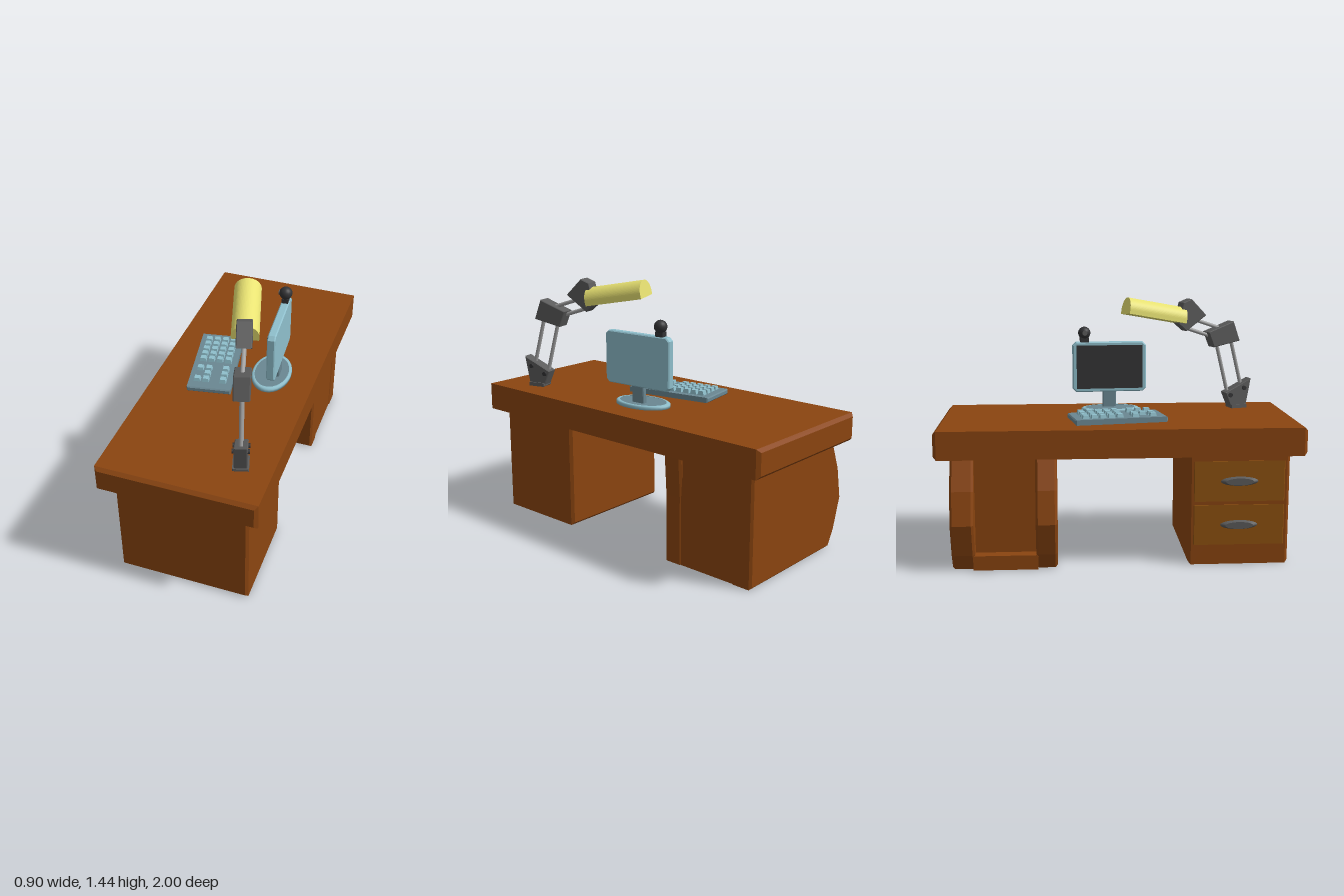
import * as THREE from 'three';

const mat = (color, extra = {}) => new THREE.MeshStandardMaterial({ color, ...extra });
const wood = mat(0x8b4510), drawerWood = mat(0x8f5210);
const blue = mat(0x8fbfcc), greyBlue = mat(0x6a8792);
const dark = mat(0x333335), iron = mat(0x5c5c5c), steel = mat(0xa0a0a0), yellow = mat(0xe8e272);

function add(parent, name, geometry, material, x = 0, y = 0, z = 0) {
  const mesh = new THREE.Mesh(geometry, material);
  mesh.name = name;
  mesh.position.set(x, y, z);
  parent.add(mesh);
  return mesh;
}

const polygon = pts => new THREE.Shape(pts.map(p => new THREE.Vector2(p[0], p[1])));

// Polygon extruded to a given depth, centred on z, with a chamfer inside the depth
function slab(shape, depth, bevel = 0) {
  const g = new THREE.ExtrudeGeometry(shape, {
    depth: depth - 2 * bevel, bevelEnabled: bevel > 0, bevelThickness: bevel,
    bevelSize: bevel, bevelOffset: -bevel, bevelSegments: 1, curveSegments: 16,
  });
  return g.translate(0, 0, bevel - depth / 2);
}

// Chamfered box
function block(w, h, d, bevel) {
  const x = w / 2, y = h / 2;
  return slab(polygon([[-x, -y], [x, -y], [x, y], [-x, y]]), d, bevel);
}

function rod(parent, name, a, b, r, material) {
  const from = new THREE.Vector3(...a), to = new THREE.Vector3(...b);
  const dir = to.clone().sub(from);
  const mesh = add(parent, name, new THREE.CylinderGeometry(r, r, dir.length(), 12), material);
  mesh.position.copy(from).add(to).multiplyScalar(0.5);
  mesh.quaternion.setFromUnitVectors(new THREE.Vector3(0, 1, 0), dir.normalize());
}

function makeDesk() {
  const desk = new THREE.Group();
  desk.name = 'desk';
  add(desk, 'deskTop', block(0.87, 0.155, 2, 0.018), wood, 0.015, 0.6975, 0);

  // Drawer pedestal with two drawers and oval handles
  add(desk, 'drawerPedestal', block(0.73, 0.625, 0.555, 0.015), wood, 0.015, 0.3125, 0.645);
  for (const y of [0.225, 0.47]) {
    add(desk, 'drawerFront', block(0.02, 0.225, 0.5, 0.004), drawerWood, -0.345, y, 0.645);
    const handle = new THREE.CylinderGeometry(0.7, 1, 0.024, 24).rotateZ(Math.PI / 2).scale(1, 0.028, 0.11);
    add(desk, 'drawerHandle', handle, iron, -0.362, y, 0.645);
  }

  // Open pedestal: bowed side panels around a shallow recess
  const bow = [[-0.35, 0.625], [-0.42, 0.45], [-0.455, 0.27], [-0.4, 0.09], [-0.35, 0]];
  const outer = polygon([...bow, [0.38, 0], [0.38, 0.625]]);
  const inner = polygon([...bow, [0.38, 0], [0.38, 0.38], [0.395, 0.625]]);
  add(desk, 'bowedPanel', slab(outer, 0.125, 0.012), wood, 0, 0, -0.8575);
  add(desk, 'bowedPanel', slab(inner, 0.115, 0.012), wood, 0, 0, -0.4075);
  add(desk, 'shelfBody', new THREE.BoxGeometry(0.705, 0.625, 0.35), wood, 0.0225, 0.3125, -0.63);
  add(desk, 'shelfFloor', new THREE.BoxGeometry(0.08, 0.08, 0.35), wood, -0.355, 0.045, -0.63);
  return desk;
}

function makeKeyboard() {
  const keyboard = new THREE.Group();
  keyboard.name = 'keyboard';
  add(keyboard, 'keyboardBody', block(0.245, 0.03, 0.52, 0.006), greyBlue, 0, 0.015, 0);
  // Main block of keys, then a smaller block with gaps
  const rows = [-0.195, -0.147, -0.099, -0.051, -0.003, 0.085, 0.135, 0.185];
  const gaps = { 5: [2], 6: [0, 2], 7: [2] };
  rows.forEach((z, r) => {
    for (let c = 0; c < 4; c++) {
      if (gaps[r]?.includes(c)) continue;
      const x = -0.075 + c * 0.048;
      const key = new THREE.CylinderGeometry(0.021, 0.028, 0.026, 4).rotateY(Math.PI / 4).toNonIndexed();
      key.computeVertexNormals();
      add(keyboard, 'key', key, blue, x, 0.036 + (x + 0.075) * 0.03, z);
    }
  });
  keyboard.position.set(-0.125, 0.775, -0.01);
  keyboard.rotation.y = 0.175;
  return keyboard;
}

function makeMonitor() {
  const monitor = new THREE.Group();
  monitor.name = 'monitor';
  // Oval foot with a raised rim
  const profile = [[0, 0], [1, 0], [1, 0.016], [0.94, 0.022], [0.86, 0.022], [0.83, 0.014], [0, 0.014]];
  const foot = new THREE.LatheGeometry(profile.slice(0, 5).map(p => new THREE.Vector2(...p)), 32);
  add(monitor, 'footRim', foot.scale(0.11, 1, 0.17), mat(0x8fbfcc, { side: THREE.DoubleSide }), -0.035, 0, 0);
  add(monitor, 'footPlate', new THREE.CylinderGeometry(0.86, 0.86, 0.02, 32).scale(0.11, 1, 0.17), greyBlue, -0.035, 0.01, 0);
  add(monitor, 'stand', block(0.03, 0.13, 0.08, 0.004), greyBlue, 0, 0.075, 0);

  // Screen case with clipped corners, turned so that it faces -x
  const w = 0.217, h = 0.147, c = 0.02;
  const outline = polygon([[-w + c, -h], [w - c, -h], [w, -h + c], [w, h - c], [w - c, h], [-w + c, h], [-w, h - c], [-w, -h + c]]);
  add(monitor, 'screenCase', slab(outline, 0.045, 0.006).rotateY(-Math.PI / 2), blue, 0, 0.257, 0);
  add(monitor, 'screen', new THREE.BoxGeometry(0.006, 0.255, 0.39), dark, -0.022, 0.257, 0);

  // Small ball camera on top
  add(monitor, 'cameraMount', new THREE.BoxGeometry(0.035, 0.04, 0.05), dark, 0, 0.41, -0.147);
  add(monitor, 'cameraBall', new THREE.SphereGeometry(0.036, 20, 14), dark, 0, 0.457, -0.147);
  add(monitor, 'cameraLens', new THREE.CylinderGeometry(0.014, 0.014, 0.01, 16).rotateZ(Math.PI / 2), iron, -0.034, 0.457, -0.147);
  monitor.position.set(0.235, 0.775, -0.035);
  monitor.rotation.y = 0.08;
  return monitor;
}

function makeLamp() {
  const lamp = new THREE.Group();
  lamp.name = 'deskLamp';
  // Points are [z, y] on the desk, turned into the lamp's own plane
  const local = ([z, y]) => [(z - 0.73) * 1.042, y - 0.775];
  const joint = (name, pts, width) =>
    add(lamp, name, slab(polygon(pts.map(local)), width, 0.004).rotateY(-Math.PI / 2), iron);
  const bar = (name, a, b) => {
    const [az, ay] = local(a), [bz, by] = local(b);
    rod(lamp, name, [0, ay, az], [0, by, bz], 0.011, steel);
  };

  add(lamp, 'lampFoot', block(0.085, 0.022, 0.105, 0.004), iron, 0, 0.011, 0.005);
  joint('baseBracket', [[0.81, 0.95], [0.78, 0.785], [0.685, 0.785], [0.65, 0.87]], 0.07);
  for (const p of [[0.765, 0.895], [0.68, 0.855]]) {
    const [z, y] = local(p);
    rod(lamp, 'bracketPin', [-0.045, y, z], [0.045, y, z], 0.013, dark);
  }
  bar('lowerArm', [0.765, 0.89], [0.685, 1.21]);
  bar('lowerArm', [0.68, 0.85], [0.6, 1.17]);
  joint('elbow', [[0.69, 1.295], [0.73, 1.18], [0.57, 1.145], [0.535, 1.235]], 0.085);
  bar('upperArm', [0.62, 1.255], [0.43, 1.32]);
  bar('upperArm', [0.59, 1.2], [0.4, 1.265]);
  joint('headJoint', [[0.43, 1.43], [0.52, 1.335], [0.4, 1.245], [0.35, 1.29], [0.38, 1.41]], 0.08);

  // Long arched shade, tilted up away from the joint
  const arch = new THREE.Shape();
  arch.moveTo(-0.072, 0);
  arch.lineTo(0.072, 0);
  arch.lineTo(0.072, 0.022);
  arch.absarc(0, 0.022, 0.072, 0, Math.PI, false);
  const [z, y] = local([0.385, 1.288]);
  const shade = add(lamp, 'shade', slab(arch, 0.355).translate(0, 0, -0.1775), yellow, 0, y, z);
  shade.rotation.set(0.18, 0, -0.07);

  lamp.position.set(0.275, 0.775, 0.73);
  lamp.rotation.y = 0.28;
  return lamp;
}

export function createModel() {
  const model = new THREE.Group();
  model.name = 'deskWithComputer';
  model.add(makeDesk(), makeKeyboard(), makeMonitor(), makeLamp());
  return model;
}
